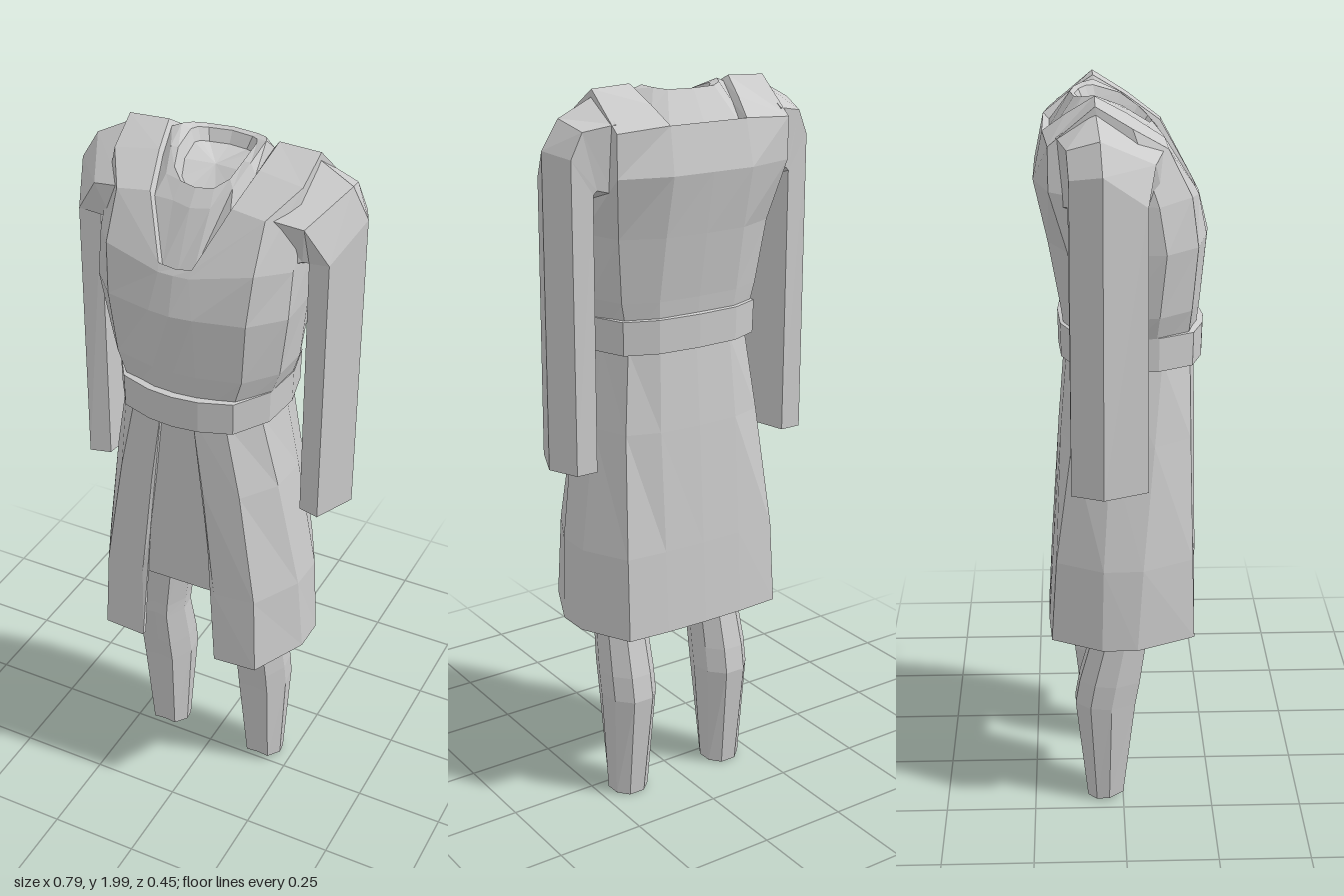
import * as THREE from 'three';

const material = new THREE.MeshStandardMaterial({ color: 0xcccccc, flatShading: true, side: THREE.DoubleSide });

// Skin closed rings of [x, y, z] points, with optional fan caps at both ends
function loft(rings, capStart = true, capEnd = true) {
  const pos = [];
  const vec = (p) => new THREE.Vector3(...p);
  const tri = (a, b, c) => {
    const area = vec(b).sub(vec(a)).cross(vec(c).sub(vec(a))).length();
    if (area > 1e-7) pos.push(...a, ...b, ...c);
  };
  const centre = (r) => [0, 1, 2].map((k) => r.reduce((s, p) => s + p[k], 0) / r.length);
  const n = rings[0].length;
  for (let i = 0; i < rings.length - 1; i++) {
    const a = rings[i], b = rings[i + 1];
    for (let j = 0; j < n; j++) {
      const k = (j + 1) % n;
      tri(a[j], a[k], b[k]);
      tri(a[j], b[k], b[j]);
    }
  }
  const first = rings[0], last = rings[rings.length - 1];
  for (let j = 0; j < n; j++) {
    const k = (j + 1) % n;
    if (capStart) tri(first[k], first[j], centre(first));
    if (capEnd) tri(last[j], last[k], centre(last));
  }
  const g = new THREE.BufferGeometry();
  g.setAttribute('position', new THREE.Float32BufferAttribute(pos, 3));
  g.computeVertexNormals();
  return g;
}

const flip = ([x, y, z]) => [-x, y, z];
// Half ring from front centre to back centre, completed on the other side
const whole = (half) => [...half, ...half.slice(1, -1).reverse().map(flip)];
const mirrorRings = (rings) => rings.map((r) => r.map(flip).reverse());
// Flat half ring from [x, z] pairs
const level = (y, pts) => pts.map(([x, z]) => [x, y, z]);

export function createModel() {
  const model = new THREE.Group();
  const add = (name, geometry, parent = model) => {
    const mesh = new THREE.Mesh(geometry, material);
    mesh.name = name;
    parent.add(mesh);
  };

  // Vest: waist to shoulders, ending at the V neckline
  const neckline = [[0, 1.735, 0.19], [0.045, 1.74, 0.188], [0.11, 1.88, 0.105], [0.135, 1.945, 0.01],
    [0.15, 1.99, -0.07], [0.132, 1.945, -0.14], [0.115, 1.9, -0.2], [0, 1.9, -0.2]];
  const vest = [
    level(1.34, [[0, 0.195], [0.06, 0.19], [0.14, 0.165], [0.2, 0.08], [0.21, -0.02], [0.185, -0.11], [0.11, -0.145], [0, -0.15]]),
    level(1.45, [[0, 0.207], [0.06, 0.203], [0.175, 0.175], [0.24, 0.09], [0.245, -0.02], [0.21, -0.12], [0.12, -0.16], [0, -0.165]]),
    level(1.62, [[0, 0.225], [0.06, 0.218], [0.19, 0.188], [0.265, 0.105], [0.262, -0.02], [0.23, -0.14], [0.12, -0.19], [0, -0.195]]),
    [[0, 1.72, 0.2], [0.042, 1.72, 0.198], [0.2, 1.75, 0.17], [0.265, 1.74, 0.085],
      [0.265, 1.75, -0.03], [0.26, 1.78, -0.185], [0.12, 1.78, -0.225], [0, 1.78, -0.225]],
    [neckline[0], neckline[1], [0.2, 1.87, 0.11], [0.255, 1.93, 0.02],
      [0.26, 1.985, -0.07], [0.26, 1.89, -0.185], neckline[6], neckline[7]],
    neckline,
  ];
  // Step inside the vest edge
  const step = neckline.map(([x, y, z]) => [x * 0.93, y - 0.015, z * 0.92]);
  add('vest', loft([...vest, step].map(whole), true, false));

  // Undershirt: V inset, collar rim and sunken neck opening
  const collar = [[0, 1.86, 0.11], [0.05, 1.865, 0.1], [0.09, 1.91, 0.06], [0.108, 1.955, 0],
    [0.115, 1.985, -0.07], [0.1, 1.98, -0.1], [0.07, 1.975, -0.12], [0, 1.975, -0.13]];
  const rim = [[0, 1.9, 0.078], [0.045, 1.905, 0.07], [0.075, 1.925, 0.045], [0.088, 1.955, 0],
    [0.09, 1.975, -0.07], [0.08, 1.975, -0.09], [0.06, 1.97, -0.108], [0, 1.97, -0.118]];
  const well = rim.map(([x, y, z]) => [x * 0.85, y - 0.03, z * 0.8 - 0.008]);
  add('undershirt', loft([step, collar, rim, well].map(whole), false, true));

  // Belt: closed band around the waist
  const beltLine = [[0, 0.215], [0.07, 0.208], [0.155, 0.18], [0.215, 0.09], [0.228, -0.02], [0.205, -0.12], [0.12, -0.16], [0, -0.168]];
  const belt = [[1.295, 0.9], [1.295, 1], [1.385, 1.01], [1.39, 0.9]].map(([y, s]) =>
    whole(beltLine.map(([x, z]) => [x * s, y + (0.2 - z) * 0.05, z * s])));
  belt.push(belt[0]);
  add('belt', loft(belt, false, false));

  // Long skirt of the coat, open at the front; columns run from front edge to back centre
  const levels = [
    level(1.32, [[0.045, 0.19], [0.13, 0.175], [0.195, 0.1], [0.21, -0.02], [0.185, -0.11], [0.11, -0.147], [0, -0.152]]),
    level(1.1, [[0.075, 0.193], [0.175, 0.178], [0.24, 0.08], [0.247, -0.035], [0.21, -0.135], [0.12, -0.165], [0, -0.17]]),
    level(0.77, [[0.11, 0.197], [0.225, 0.185], [0.295, 0.05], [0.298, -0.055], [0.235, -0.18], [0.12, -0.189], [0, -0.192]]),
    level(0.54, [[0.113, 0.2], [0.235, 0.192], [0.308, 0.035], [0.308, -0.06], [0.24, -0.195], [0.12, -0.203], [0, -0.205]]),
  ];
  const inset = ([x, y, z]) => [x * 0.95, y, z * 0.92];
  const half = levels[0].map((_, j) => {
    const outer = levels.map((l) => l[j]);
    return { outer, inner: outer.map((p, i) => [i && j === 0 ? p[0] : inset(p)[0], p[1], inset(p)[2]]).reverse() };
  });
  const columns = half.map(({ outer, inner }) => [...outer, ...inner]);
  const otherSide = columns.slice(0, -1).reverse().map((c) => c.map(flip));
  add('coatSkirt', loft([...columns, ...otherSide]));

  // Shorter panel hanging behind the front opening
  const panel = new THREE.Shape([[-0.12, 0.765], [0.12, 0.765], [0.08, 1.32], [-0.08, 1.32]].map((p) => new THREE.Vector2(...p)));
  add('frontPanel', new THREE.ExtrudeGeometry(panel, { depth: 0.012, bevelEnabled: false }).translate(0, 0, 0.17));

  // Shoulder bending into a straight six-sided sleeve
  const sleeve = [
    [[0.24, 1.975, -0.07], [0.2, 1.87, 0.1], [0.2, 1.735, 0.1], [0.24, 1.7, -0.04], [0.25, 1.74, -0.15], [0.25, 1.91, -0.165]],
    [[0.35, 1.92, -0.06], [0.285, 1.85, 0.075], [0.275, 1.755, 0.055], [0.275, 1.71, -0.05], [0.29, 1.75, -0.14], [0.33, 1.895, -0.14]],
    [[0.395, 1.845, -0.055], [0.345, 1.76, 0.055], [0.288, 1.75, 0.045], [0.28, 1.71, -0.05], [0.3, 1.74, -0.138], [0.36, 1.83, -0.135]],
    [[0.395, 1.02, -0.055], [0.345, 1.02, 0.06], [0.288, 1.02, 0.045], [0.28, 1.02, -0.05], [0.3, 1.02, -0.138], [0.36, 1.02, -0.138]],
  ];
  add('leftSleeve', loft(sleeve));
  add('rightSleeve', loft(mirrorRings(sleeve)));

  // Tapered legs: [y, centre x, centre z, half width, half depth]
  const legs = [[0.01, 0.16, -0.05, 0.058, 0.05], [0.31, 0.157, -0.05, 0.075, 0.083], [0.38, 0.157, -0.038, 0.075, 0.083],
    [0.5, 0.155, -0.013, 0.07, 0.075], [0.54, 0.153, -0.015, 0.072, 0.078], [0.95, 0.11, 0, 0.09, 0.09]];
  const outline = [[0, 0.92], [0.6, 1], [1, 0.2], [0.9, -0.5], [0.4, -1], [-0.4, -1], [-0.9, -0.5], [-1, 0.2], [-0.6, 1]];
  const leg = legs.map(([y, x, z, w, d], i) =>
    outline.map(([u, v]) => [x + u * w, y + (i === 0 ? 0.008 * v : 0), z + v * d]));
  add('leftLeg', loft(leg));
  add('rightLeg', loft(mirrorRings(leg)));

  return model;
}
